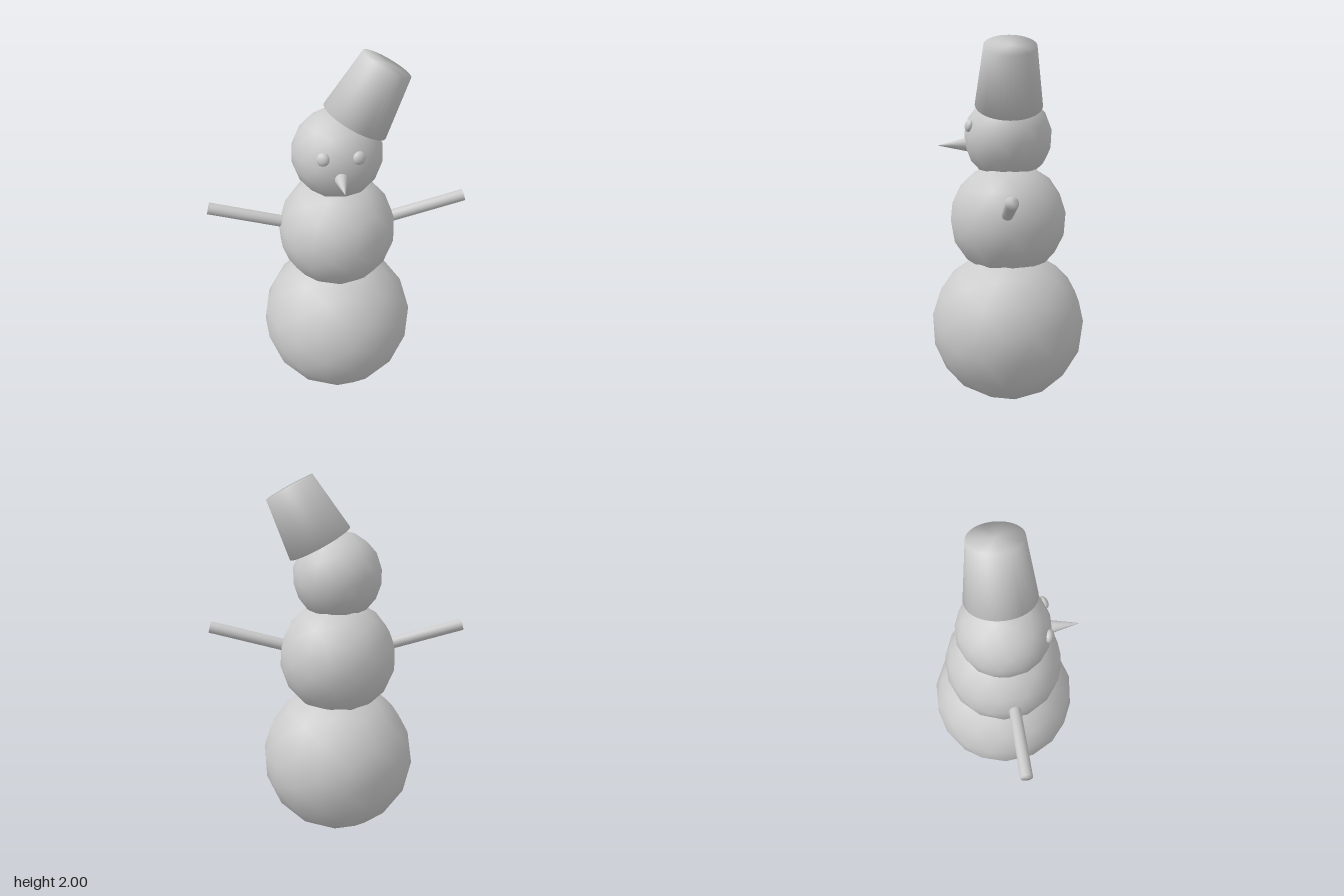
import * as THREE from 'three';

const material = new THREE.MeshStandardMaterial({ color: 0xcccccc });
const UP = new THREE.Vector3(0, 1, 0);

function add(group, name, geometry, x = 0, y = 0, z = 0) {
  const mesh = new THREE.Mesh(geometry, material);
  mesh.name = name;
  mesh.position.set(x, y, z);
  group.add(mesh);
  return mesh;
}

// Closed, softly shaded frustum running from point a to point b
function taper(group, name, a, b, ra, rb, sides) {
  const from = new THREE.Vector3(...a);
  const dir = new THREE.Vector3(...b).sub(from);
  const h = dir.length();
  const profile = [[0, 0], [ra, 0], [rb, h]];
  if (rb > 0) profile.push([0, h]);
  const geometry = new THREE.LatheGeometry(profile.map(p => new THREE.Vector2(...p)), sides);
  const mesh = add(group, name, geometry, ...a);
  mesh.quaternion.setFromUnitVectors(UP, dir.normalize());
  return mesh;
}

export function createModel() {
  const model = new THREE.Group();
  model.name = 'snowman';

  // Three stacked, slightly turned low-poly snowballs
  const balls = [
    ['bottomBall', 0.428, -0.005, 0.423, 0.1],
    ['middleBall', 0.322, -0.005, 1.02, -0.15],
    ['head', 0.241, -0.003, 1.472, 0.2],
  ];
  for (const [name, r, x, y, turn] of balls) {
    const ball = add(model, name, new THREE.IcosahedronGeometry(r, 2), x, y, 0);
    ball.rotation.set(turn * 0.5, turn, turn);
  }

  // Bucket hat, tilted to the model's left
  taper(model, 'bucketHat', [0.09, 1.645, 0], [0.245, 1.935, 0], 0.181, 0.136, 40);

  // Arms and eyes on both sides
  for (const [side, s] of [['left', 1], ['right', -1]]) {
    taper(model, side + 'Arm', [s * 0.26, 1.075, 0.017], [s * 0.692, 1.19, 0.017], 0.032, 0.032, 20);
    const eye = add(model, side + 'Eye', new THREE.SphereGeometry(0.034, 16, 12), s * 0.09 - 0.005, 1.534, 0.211);
    eye.scale.z = 0.65;
    eye.rotation.set(-0.25, s * 0.35, 0);
  }

  // Pointed nose
  taper(model, 'nose', [-0.005, 1.431, 0.205], [-0.005, 1.426, 0.385], 0.041, 0, 20);

  return model;
}
